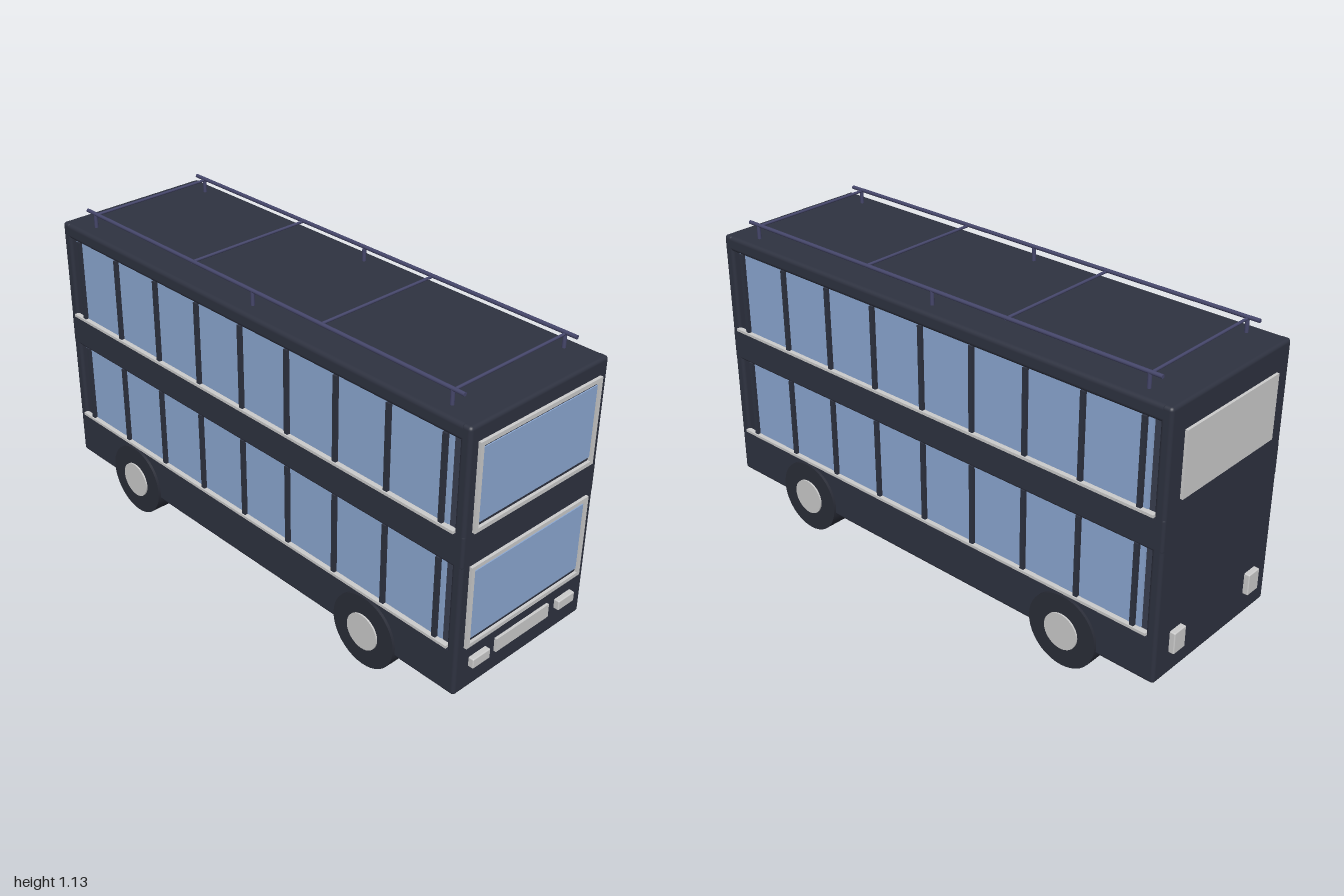
import * as THREE from 'three';
import { RoundedBoxGeometry } from 'three/addons/geometries/RoundedBoxGeometry.js';

const mat = (color) => new THREE.MeshStandardMaterial({ color });

export function createModel() {
  const bus = new THREE.Group();
  bus.name = 'doubleDeckerBus';
  const paint = mat(0x2e3240), glass = mat(0x8ca8d2), grey = mat(0xcccccc);
  const tyre = mat(0x2a2d38), rail = mat(0x45466a);

  const add = (name, geometry, material, x, y, z) => {
    const mesh = new THREE.Mesh(geometry, material);
    mesh.name = name;
    mesh.position.set(x, y, z);
    bus.add(mesh);
    return mesh;
  };
  // Box given by its extents on each axis; r > 0 rounds the edges
  const block = (name, material, [x0, x1], [y0, y1], [z0, z1], r = 0) => {
    const size = [x1 - x0, y1 - y0, z1 - z0];
    const geometry = r ? new RoundedBoxGeometry(...size, 3, r) : new THREE.BoxGeometry(...size);
    return add(name, geometry, material, (x0 + x1) / 2, (y0 + y1) / 2, (z0 + z1) / 2);
  };

  // Body shell: chassis, band between decks, roof and end walls
  const long = [-0.98, 0.98], wide = [-0.31, 0.31];
  block('lowerBody', paint, long, [0.105, 0.28], wide, 0.012);
  block('middleBand', paint, long, [0.585, 0.708], wide, 0.01);
  block('roof', paint, long, [1.015, 1.072], wide, 0.015);
  block('frontWall', paint, [0.94, 0.98], [0.105, 1.072], wide, 0.012);
  block('rearWall', paint, [-0.98, -0.94], [0.105, 1.072], wide, 0.012);

  // Side windows, mullions and sills on both decks
  const decks = [[0.28, 0.59], [0.705, 1.02]];
  for (const s of [1, -1]) {
    const side = (a, b) => (s > 0 ? [a, b] : [-b, -a]);
    for (const [y0, y1] of decks) {
      block('sideGlass', glass, [-0.913, 0.91], [y0, y1], side(0.292, 0.302));
      for (let i = -4; i <= 4; i++) {
        const x = i * 0.222;
        block('mullion', paint, [x - 0.008, x + 0.008], [y0, y1], side(0.288, 0.314));
      }
      block('sill', grey, [-0.945, 0.945], [y0, y0 + 0.01], side(0.3, 0.319));
    }
  }

  // Front windows: frame with recessed-looking dark margin above and below
  for (const [y0, y1] of [[0.28, 0.586], [0.708, 1.017]]) {
    const h = (y1 - y0) / 2, w = 0.275, t = 0.014;
    const outline = (W, H, P) => P.moveTo(-W, -H).lineTo(W, -H).lineTo(W, H).lineTo(-W, H).closePath();
    const shape = outline(w, h, new THREE.Shape());
    shape.holes.push(outline(w - t, h - t, new THREE.Path()));
    const geometry = new THREE.ExtrudeGeometry(shape, { depth: 0.02, bevelEnabled: false });
    add('frontWindowFrame', geometry, grey, 0.971, (y0 + y1) / 2, 0).rotation.y = Math.PI / 2;
    block('frontGlass', glass, [0.97, 0.984], [y0 + 0.027, y1 - 0.027], [-0.261, 0.261]);
  }

  // Rear window, grille and lamps
  block('rearWindow', grey, [-0.99, -0.97], [0.75, 0.98], [-0.24, 0.24]);
  block('grille', grey, [0.97, 0.99], [0.184, 0.235], [-0.128, 0.128]);
  for (const s of [1, -1]) {
    block('headlight', grey, [0.97, 1], [0.191, 0.228], [s * 0.208 - 0.04, s * 0.208 + 0.04], 0.004);
    block('tailLight', grey, [-1, -0.97], [0.19, 0.27], [s * 0.207 - 0.03, s * 0.207 + 0.03], 0.004);
  }

  // Wheels with hubs
  const cylinderZ = (r, length) => new THREE.CylinderGeometry(r, r, length, 40).rotateX(Math.PI / 2);
  for (const x of [-0.622, 0.594]) {
    for (const s of [1, -1]) {
      add('wheel', cylinderZ(0.136, 0.104), tyre, x, 0.136, s * 0.268);
      add('hub', cylinderZ(0.067, 0.03), grey, x, 0.136, s * 0.311);
    }
  }

  // Roof rack: side rails on posts, joined by crossbars
  for (const s of [1, -1]) {
    const z = s * 0.25;
    add('roofRail', new THREE.CylinderGeometry(0.007, 0.007, 1.8, 10).rotateZ(Math.PI / 2), rail, 0, 1.123, z);
    for (const x of [-0.855, 0, 0.855]) {
      add('railPost', new THREE.CylinderGeometry(0.007, 0.007, 0.06, 10), rail, x, 1.093, z);
    }
  }
  for (const x of [-0.855, -0.31, 0.31, 0.855]) {
    add('crossbar', cylinderZ(0.005, 0.5), rail, x, 1.118, 0);
  }
  return bus;
}
